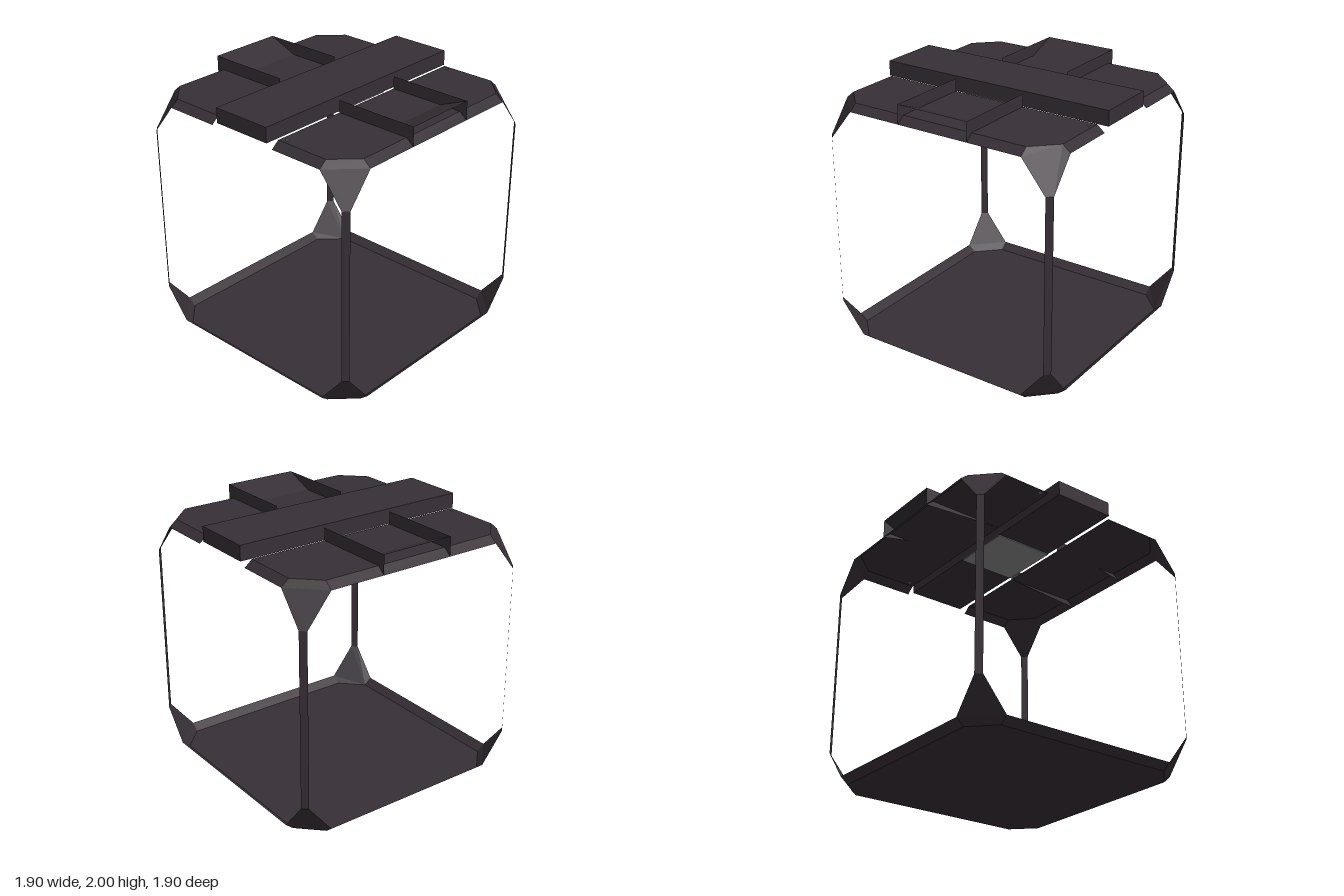
import * as THREE from 'three';

export function createModel() {
  const model = new THREE.Group();
  const dark = new THREE.MeshStandardMaterial({ color: 0x372f36, side: THREE.DoubleSide, flatShading: true });
  dark.name = 'dark plum metal';
  const pale = new THREE.MeshStandardMaterial({ color: 0x8a888c });
  pale.name = 'pale grey';

  const H = 1.905;                 // height of the shell
  const E = 0.95, B = 0.89;        // outer edge, start of the bevel
  const C = 0.72, P = 0.91;        // corner cut, post edge
  const LOW = 0.05, CUT = 0.285;   // bevel height, gusset height
  const GAP = 0.29, BEAM = 0.24, TOP = 2;
  const SIDES = [-1, 1];
  const centre = new THREE.Vector3(0, H / 2, 0);

  // Flat sheet from a convex outline, wound to face away from the centre
  function sheet(name, outline) {
    let p = outline.map(a => new THREE.Vector3(...a));
    const normal = p[1].clone().sub(p[0]).cross(p[2].clone().sub(p[0]));
    if (normal.dot(p[0].clone().sub(centre)) < 0) p = p.reverse();
    const tris = [];
    for (let i = 1; i < p.length - 1; i++) tris.push(p[0], p[i], p[i + 1]);
    const geo = new THREE.BufferGeometry().setFromPoints(tris);
    geo.computeVertexNormals();
    const mesh = new THREE.Mesh(geo, dark);
    mesh.name = name;
    model.add(mesh);
  }

  function box(name, material, size, pos) {
    const mesh = new THREE.Mesh(new THREE.BoxGeometry(...size), material);
    mesh.position.set(...pos);
    mesh.name = name;
    model.add(mesh);
  }

  // Floor with turned-up bevelled rims
  sheet('floor', [[C, 0, B], [B, 0, C], [B, 0, -C], [C, 0, -B],
    [-C, 0, -B], [-B, 0, -C], [-B, 0, C], [-C, 0, B]]);
  for (const s of SIDES) {
    sheet('floorRim', [[-C, 0, s * B], [C, 0, s * B], [C, LOW, s * E], [-C, LOW, s * E]]);
    sheet('floorRim', [[s * B, 0, -C], [s * B, 0, C], [s * E, LOW, C], [s * E, LOW, -C]]);
  }

  // Corner posts and the gussets at both ends
  for (const sx of SIDES) for (const sz of SIDES) {
    sheet('post', [[sx * E, CUT, sz * P], [sx * P, CUT, sz * E],
      [sx * P, H - CUT, sz * E], [sx * E, H - CUT, sz * P]]);
    for (const y of [v => v, v => H - v]) {
      sheet('gusset', [[C, 0, B], [B, 0, C], [E, LOW, C], [E, CUT, P], [P, CUT, E], [C, LOW, E]]
        .map(([a, h, b]) => [sx * a, y(h), sz * b]));
    }
  }

  // Two roof halves, each with bevelled edges and a raised side bay
  for (const s of SIDES) {
    sheet('roofPanel', [[s * GAP, H, B], [s * C, H, B], [s * B, H, C],
      [s * B, H, -C], [s * C, H, -B], [s * GAP, H, -B]]);
    sheet('roofSideBevel', [[s * B, H, -C], [s * B, H, C], [s * E, H - LOW, C], [s * E, H - LOW, -C]]);
    sheet('bayRamp', [[s * C, H, -GAP], [s * C, H, GAP], [s * E, TOP, BEAM], [s * E, TOP, -BEAM]]);
    for (const z of SIDES) {
      sheet('roofEndBevel', [[s * GAP, H, z * B], [s * C, H, z * B],
        [s * C, H - LOW, z * E], [s * GAP, H - LOW, z * E]]);
      sheet('bayFin', [[s * GAP, H, z * GAP], [s * B, H, z * GAP], [s * E, H - LOW, z * GAP],
        [s * E, TOP, z * GAP], [s * GAP, TOP, z * GAP]]);
      sheet('bayRampCheek', [[s * C, H, z * GAP], [s * E, TOP, z * BEAM], [s * E, TOP, z * GAP]]);
      // Small cross-shaped studs
      box('stud', pale, [0.024, 0.006, 0.008], [s * 0.34, H + 0.003, z * 0.855]);
      box('stud', pale, [0.008, 0.006, 0.024], [s * 0.34, H + 0.003, z * 0.855]);
    }
  }

  // Central beam and the pale plate beneath it
  box('roofBeam', dark, [2 * BEAM, 0.115, 2 * E], [0, TOP - 0.0575, 0]);
  box('underPlate', pale, [2 * BEAM, 0.006, 2 * BEAM], [0, 1.882, 0]);

  return model;
}
